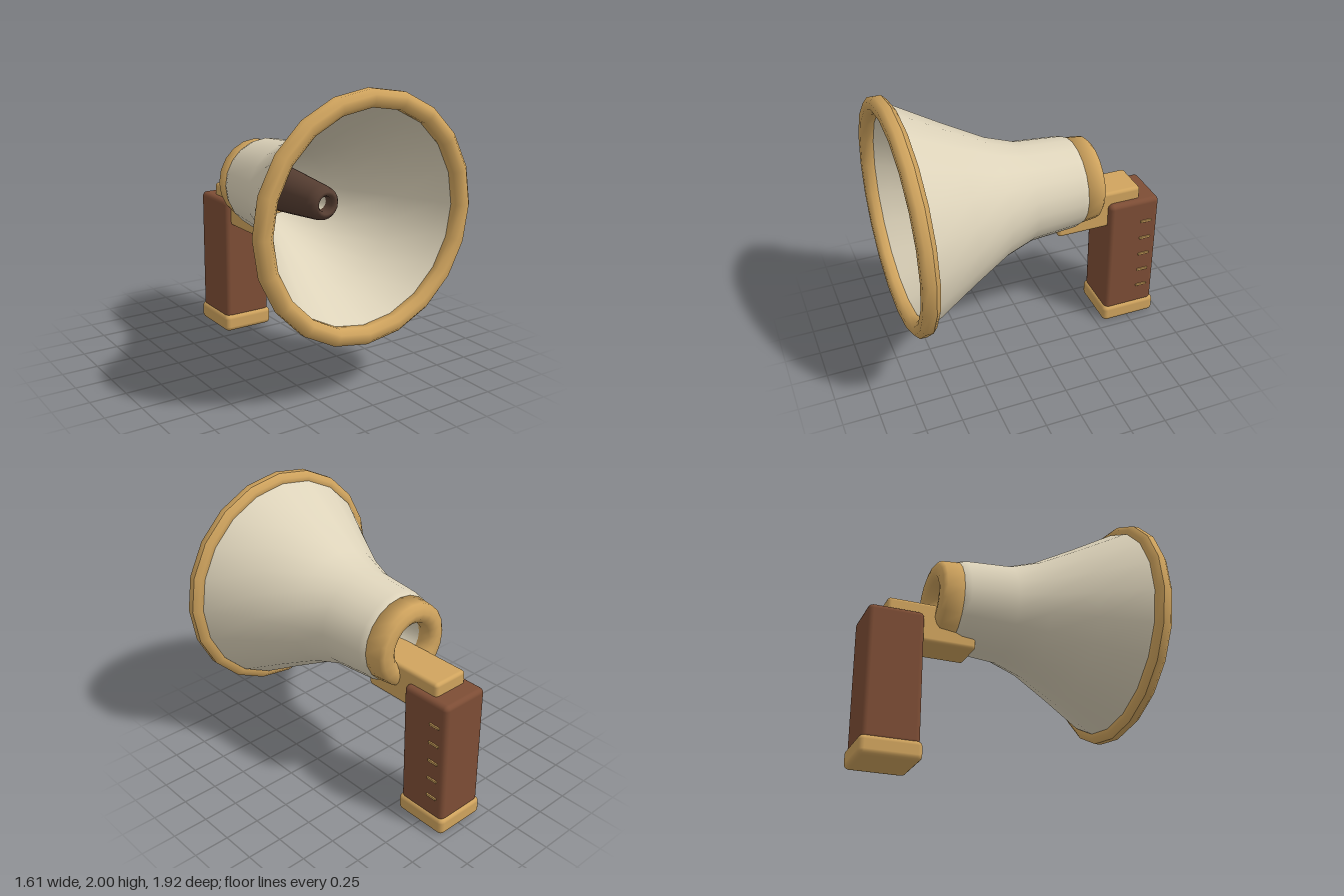
import * as THREE from 'three';
import { RoundedBoxGeometry } from 'three/addons/geometries/RoundedBoxGeometry.js';

const AXIS_Y = 1.195;

function material(name, color) {
  const m = new THREE.MeshStandardMaterial({ color });
  m.name = name;
  return m;
}

export function createModel() {
  const gold = material('gold', 0xd0a45e);
  const cream = material('cream', 0xddd3ba);
  const brown = material('brown leather', 0x7d4d35);
  const dark = material('dark brown', 0x553d31);
  const model = new THREE.Group();
  model.name = 'megaphone';

  // Revolved part about the horn axis; profile pairs are [radius, z]
  function revolve(name, profile, mat) {
    const geometry = new THREE.LatheGeometry(profile.map(([r, z]) => new THREE.Vector2(r, z)), 20);
    geometry.rotateX(Math.PI / 2);
    const mesh = new THREE.Mesh(geometry, mat);
    mesh.name = name;
    mesh.position.y = AXIS_Y;
    model.add(mesh);
  }

  // Rounded box given by its extents
  function block(name, [x0, x1], [y0, y1], [z0, z1], radius, mat) {
    const mesh = new THREE.Mesh(new RoundedBoxGeometry(x1 - x0, y1 - y0, z1 - z0, 2, radius), mat);
    mesh.name = name;
    mesh.position.set((x0 + x1) / 2, (y0 + y1) / 2, (z0 + z1) / 2);
    model.add(mesh);
  }

  // Horn: outer skin back to front, inner skin front to back
  revolve('hornOuter', [[0.29, -0.36], [0.305, -0.33], [0.32, -0.29], [0.345, 0.04],
    [0.415, 0.25], [0.565, 0.53], [0.735, 0.83], [0.745, 0.87]], cream);
  revolve('hornInner', [[0.71, 0.9], [0.69, 0.87], [0.66, 0.8], [0.52, 0.53], [0.37, 0.25],
    [0.28, 0.04], [0.215, -0.19], [0.18, -0.3], [0.165, -0.37]], cream);

  // Front rim with an eight-sided section
  const rim = [];
  for (let i = 0; i <= 8; i++) {
    const a = (i - 0.5) * Math.PI / 4;
    rim.push([0.748 + 0.0617 * Math.cos(a), 0.903 + 0.0617 * Math.sin(a)]);
  }
  revolve('frontRim', rim, gold);

  // Rear ring around the throat
  revolve('rearRing', [[0.17, -0.34], [0.145, -0.4], [0.16, -0.455], [0.19, -0.48], [0.225, -0.485],
    [0.265, -0.472], [0.29, -0.45], [0.303, -0.33], [0.17, -0.33]], gold);

  // Hollow inner cone
  revolve('innerCone', [[0.17, -0.36], [0.17, -0.2], [0.145, 0.1], [0.117, 0.4], [0.108, 0.44],
    [0.085, 0.47], [0.065, 0.47], [0.052, 0.45], [0.052, 0.38]], dark);
  revolve('innerConeLining', [[0.052, 0.38], [0.16, -0.36]], cream);

  // Bracket, handle and foot
  block('bracket', [-0.135, 0.135], [0.83, 1.11], [-0.81, -0.19], 0.025, gold);
  block('handle', [-0.18, 0.18], [0.1, 1.02], [-0.945, -0.565], 0.035, brown);
  block('handleFoot', [-0.193, 0.193], [0, 0.13], [-0.96, -0.55], 0.035, gold);

  // Tick marks on one side of the handle
  for (let i = 0; i < 5; i++) {
    const y = 0.272 + i * 0.1425;
    block('handleMark', [0.172, 0.19], [y - 0.009, y + 0.009], [-0.89, -0.805], 0.004, gold);
  }
  return model;
}
